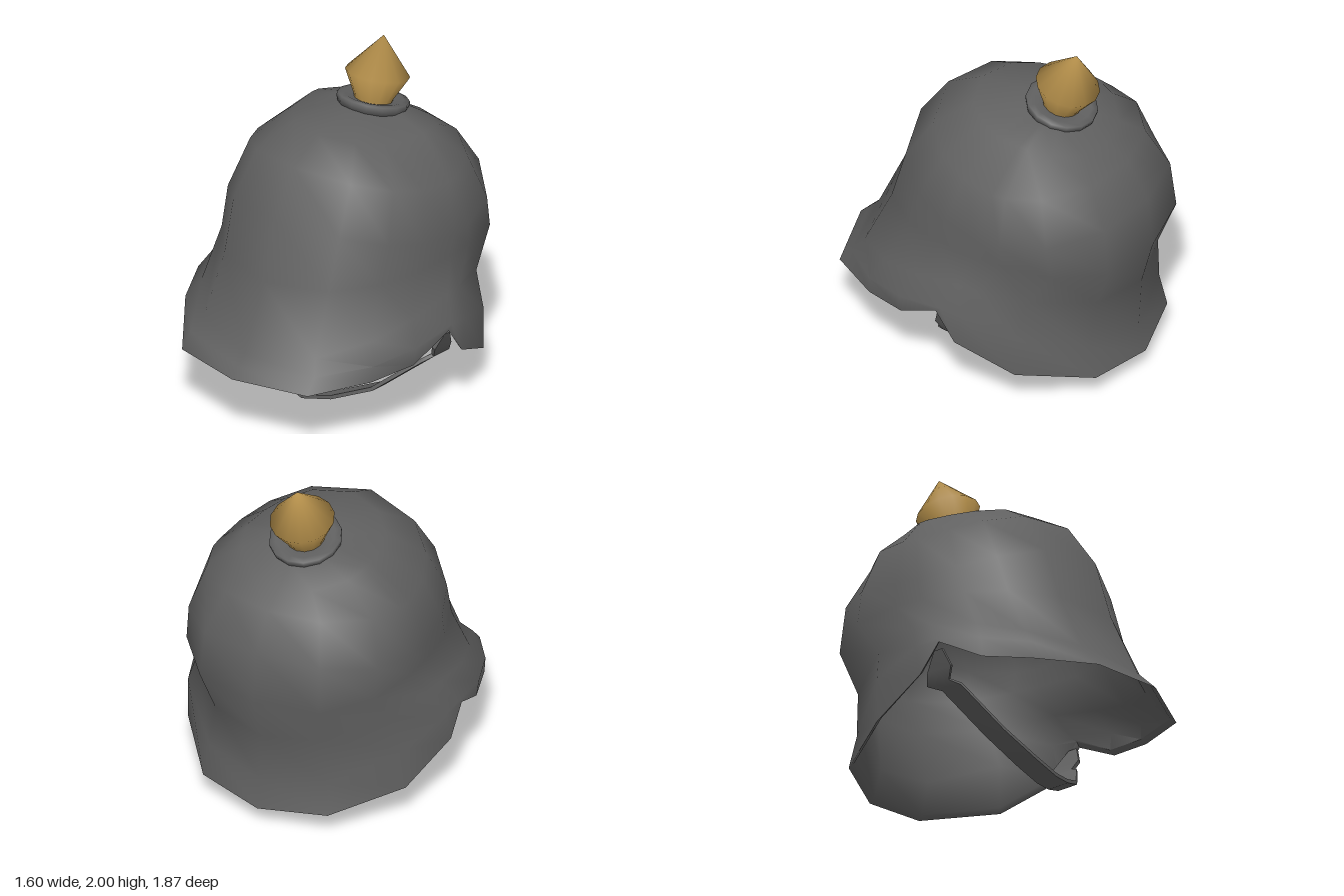
import * as THREE from 'three';
import { toCreasedNormals } from 'three/addons/utils/BufferGeometryUtils.js';

const steel = new THREE.MeshStandardMaterial({ color: 0x606060 });
steel.name = 'dark grey';
const brass = new THREE.MeshStandardMaterial({ color: 0xb8924c });
brass.name = 'brass';

// Skin rings of [x, y, z] points
function skin(rows, crease) {
  const n = rows[0].length, index = [];
  for (let r = 0; r < rows.length - 1; r++) {
    for (let c = 0; c < n; c++) {
      const d = (c + 1) % n, a = r * n, b = a + n;
      index.push(a + c, b + c, b + d, a + c, b + d, a + d);
    }
  }
  const g = new THREE.BufferGeometry();
  g.setAttribute('position', new THREE.Float32BufferAttribute(rows.flat(2), 3));
  g.setIndex(index);
  return toCreasedNormals(g, crease);
}

function createShell() {
  // Column angles from front to back, with the brim edge point of each
  const angles = [0, 32, 55, 73, 90, 98, 120, 152, 180];
  const edge = [
    [0, 0.415, 0.935], [0.44, 0.405, 0.82], [0.65, 0.43, 0.51], [0.75, 0.46, 0.25],
    [0.8, 0.585, 0], [0.8, 0.41, -0.12], [0.7, 0.24, -0.45], [0.4, 0.155, -0.8], [0, 0.12, -0.89],
  ];
  // Each ring: front z, y; side x, y, z; back z, y; front slope power, back roundness
  const rings = [
    [-0.15, 1.655, 0.2, 1.615, -0.33, -0.53, 1.56, 2, 0.95],
    [0.16, 1.635, 0.39, 1.57, -0.3, -0.65, 1.475, 2, 0.95],
    [0.375, 1.52, 0.61, 1.355, -0.25, -0.775, 1.39, 1.6, 0.93],
    [0.55, 1.265, 0.685, 1.065, -0.2, -0.905, 1.18, 1.5, 0.82],
    [0.65, 0.91, 0.675, 0.94, -0.18, -0.935, 0.87, 1.5, 0.75],
    [0.82, 0.53, 0.72, 0.75, -0.1, -0.865, 0.6, 1.2, 1],
    [0.88, 0.47, 0.8, 0.61, -0.03, -0.845, 0.285, 1, 0.95],
  ];
  const mirror = (half) => [...half, ...half.slice(1, -1).reverse().map(([x, y, z]) => [-x, y, z])];
  const outer = rings.map(([fz, fy, sx, sy, sz, bz, by, slope, round]) => mirror(angles.map((deg) => {
    const t = THREE.MathUtils.degToRad(deg), k = Math.abs(Math.cos(t));
    const [ez, ey, yPower, power] = deg < 90 ? [fz, fy, slope, 0.96] : [bz, by, 1.5, round];
    return [
      sx * Math.pow(Math.abs(Math.sin(t)), power),
      sy + (ey - sy) * Math.pow(k, yPower),
      sz + (ez - sz) * Math.pow(k, power),
    ];
  })));
  outer.unshift(outer[0].map(() => [0, 1.63, -0.33]));
  outer.push(mirror(edge));
  // Lining: the same rows pulled inward, joined by a bevel at the brim edge
  const inner = outer.map((row) => row.map(([x, y, z]) => [
    x * 0.965, y + 0.025 - 0.06 * THREE.MathUtils.clamp((y - 0.6) / 0.8, 0, 1), (z + 0.1) * 0.965 - 0.1,
  ])).reverse();
  return skin([...outer, ...inner], 1.0);
}

function createStrap() {
  // Half path: x, y, z, width, from the side fixing to the chin
  const half = [
    [0.765, 0.555, -0.02, 0.05], [0.725, 0.455, -0.035, 0.15], [0.695, 0.39, -0.06, 0.14],
    [0.655, 0.365, 0.005, 0.12], [0.41, 0.16, 0.14, 0.12], [0.18, 0.06, 0.21, 0.125], [0, 0.018, 0.24, 0.125],
  ];
  const path = [...half, ...half.slice(0, -1).reverse().map(([x, ...p]) => [-x, ...p])];
  const rows = path.map(([x, y, z, w], i) => {
    const a = path[Math.max(i - 1, 0)], b = path[Math.min(i + 1, path.length - 1)];
    const len = Math.hypot(b[0] - a[0], b[1] - a[1]);
    const nx = (b[1] - a[1]) / len * 0.011, ny = -(b[0] - a[0]) / len * 0.011;
    return [[1, 1], [-1, 1], [-1, -1], [1, -1]].map(([u, v]) => [
      x + nx * u, y + ny * u + v * w * 0.05, z + v * w / 2,
    ]);
  });
  // Closed ends
  const cap = ([x, y, z]) => Array.from({ length: 4 }, () => [x, y, z]);
  return skin([cap(path[0]), ...rows, cap(path[path.length - 1])], 0.7);
}

export function createModel() {
  const model = new THREE.Group();
  const add = (parent, name, geometry, material) => {
    const mesh = new THREE.Mesh(geometry, material);
    mesh.name = name;
    parent.add(mesh);
  };
  add(model, 'helmetShell', createShell(), steel);
  add(model, 'chinStrap', createStrap(), steel);

  // Crest: collar and pointed finial, leaning back together
  const crest = new THREE.Group();
  crest.name = 'crest';
  crest.position.set(0, 1.63, -0.35);
  crest.rotation.x = -0.26;
  model.add(crest);
  // Turned parts, smooth all over
  const lathe = (pts) => toCreasedNormals(
    new THREE.LatheGeometry(pts.map(([r, y]) => new THREE.Vector2(r, y)), 14), Math.PI);
  add(crest, 'collar', lathe([[0.12, -0.05], [0.195, -0.035], [0.207, 0], [0.205, 0.02], [0.17, 0.024], [0.1, 0.005]]), steel);
  add(crest, 'finial', lathe([[0.105, -0.02], [0.112, 0.02], [0.184, 0.16], [0, 0.383]]), brass);
  return model;
}
